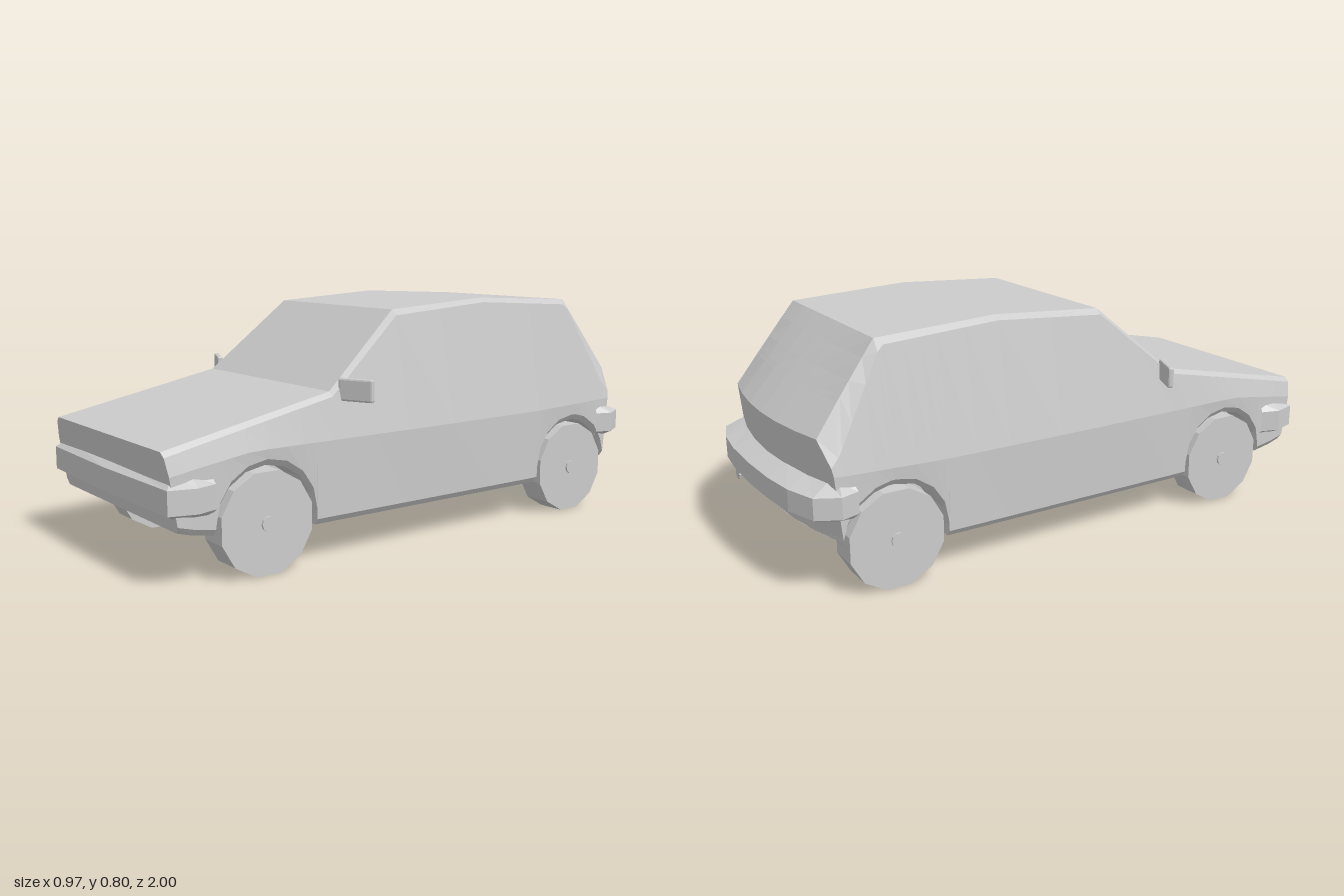
import * as THREE from 'three';
import { RoundedBoxGeometry } from 'three/addons/geometries/RoundedBoxGeometry.js';

const material = new THREE.MeshStandardMaterial({ color: 0xcccccc, flatShading: true, side: THREE.DoubleSide });
const FRONT_AXLE = 0.65, REAR_AXLE = -0.68, WHEEL_Y = 0.16, ARCH_R = 0.178;
const NOSE = 0.985, TAIL = -0.95, COLS = 6;

function add(parent, name, geometry, x = 0, y = 0, z = 0) {
  const mesh = new THREE.Mesh(geometry, material);
  mesh.name = name;
  mesh.position.set(x, y, z);
  parent.add(mesh);
  return mesh;
}

// Faceted surface through rows of points
function skin(rows) {
  const pos = [];
  for (let i = 0; i < rows.length - 1; i++) {
    for (let j = 0; j < rows[i].length - 1; j++) {
      const a = rows[i][j], b = rows[i + 1][j], c = rows[i + 1][j + 1], d = rows[i][j + 1];
      pos.push(...a, ...b, ...d, ...b, ...c, ...d);
    }
  }
  const g = new THREE.BufferGeometry();
  g.setAttribute('position', new THREE.Float32BufferAttribute(pos, 3));
  g.computeVertexNormals();
  return g;
}

// Piecewise linear lookup; keys run from nose to tail
function at(table, z) {
  if (z >= table[0][0]) return table[0][1];
  for (let i = 1; i < table.length; i++) {
    const [z0, v0] = table[i - 1], [z1, v1] = table[i];
    if (z >= z1) return v0 + (v1 - v0) * (z - z0) / (z1 - z0);
  }
  return table[table.length - 1][1];
}

// Body lines along the length
const topY = [[NOSE, 0.415], [0.4, 0.535], [0.115, 0.775], [-0.28, 0.8], [-0.7, 0.78], [TAIL, 0.51]];
const topX = [[NOSE, 0.37], [0.4, 0.365], [0.115, 0.32], [-0.28, 0.315], [-0.7, 0.318], [TAIL, 0.345]];
const edgeY = [[NOSE, 0.4], [0.4, 0.52], [0.115, 0.757], [-0.28, 0.785], [-0.69, 0.762], [-0.855, 0.46], [TAIL, 0.43]];
const edgeX = [[NOSE, 0.387], [0.4, 0.383], [0.115, 0.343], [-0.28, 0.337], [-0.69, 0.342], [-0.855, 0.39], [TAIL, 0.395]];
const beltY = [[NOSE, 0.345], [0.7, 0.388], [-0.5, 0.39], [TAIL, 0.405]];
const beltX = [[NOSE, 0.4], [0, 0.41], [TAIL, 0.4]];
const floorY = [[NOSE, 0.178], [0.83, 0.152], [0.48, 0.125], [-0.5, 0.125], [-0.86, 0.18], [TAIL, 0.19]];

function archY(z, floor) {
  const dz = Math.min(Math.abs(z - FRONT_AXLE), Math.abs(z - REAR_AXLE));
  return dz > ARCH_R + 0.0002 ? floor : Math.max(floor, WHEEL_Y + Math.sqrt(Math.max(0, ARCH_R ** 2 - dz * dz)));
}

// Half section from floor to roof edge
function halfSection(z) {
  const floor = at(floorY, z), low = archY(z, floor);
  return [
    [0.285, floor], [0.285, low], [0.385, low], [0.4, low + 0.02],
    [at(beltX, z), at(beltY, z)], [at(edgeX, z), at(edgeY, z)], [at(topX, z), at(topY, z)],
  ];
}

// Rakes the nose and bows the tail
function place(x, y, z, isTop) {
  const bow = 0.06 * (x / 0.4) ** 2;
  if (z === NOSE) return [x, y, z - (0.415 - y) * 0.15];
  if (z === TAIL) return [x, y, z + (0.51 - y) * 0.1 + bow];
  const t = isTop ? Math.max(0, (-0.7 - z) / 0.25) : 0;
  return [x, y, z + bow * t];
}

const across = (w, y, z, isTop) =>
  Array.from({ length: COLS + 1 }, (_, i) => place(w * (2 * i / COLS - 1), y, z, isTop));

function ring(z) {
  const h = halfSection(z), last = h.length - 1;
  const side = h.slice(1, last);
  const pts = [
    ...across(h[0][0], h[0][1], z, false),
    ...side.map(([x, y]) => place(x, y, z, false)),
    ...across(h[last][0], h[last][1], z, true).reverse(),
    ...side.reverse().map(([x, y]) => place(-x, y, z, false)),
  ];
  return [...pts, pts[0]];
}

const cap = (z) => halfSection(z).slice(2).map(([x, y]) => across(x, y, z, true));

function buildBody(car) {
  const stations = [NOSE, 0.9, 0.4, 0.25, 0.115, -0.08, -0.28, -0.4, -0.7, TAIL];
  for (const axle of [FRONT_AXLE, REAR_AXLE]) {
    for (let k = 0; k <= 8; k++) stations.push(axle + ARCH_R * Math.cos(k * Math.PI / 8));
    stations.push(axle + ARCH_R + 0.001, axle - ARCH_R - 0.001);
  }
  stations.sort((a, b) => b - a);
  const body = new THREE.Group();
  body.name = 'body';
  car.add(body);
  add(body, 'bodyShell', skin(stations.map(ring)));
  add(body, 'nosePanel', skin(cap(NOSE).reverse()));
  add(body, 'tailPanel', skin(cap(TAIL)));
}

// Bumper: each half-path entry is inner x, inner z, outer x, outer z
function bumper(half, lo, hi) {
  const path = [...half.slice(1).reverse().map(([a, b, c, d]) => [-a, b, -c, d]), ...half];
  const profile = [[0, lo], [1, lo + 0.02], [1, hi - 0.03], [0, hi], [0, lo]];
  return skin(path.map(([xi, zi, xo, zo]) => profile.map(([t, y]) => [xi + (xo - xi) * t, y, zi + (zo - zi) * t])));
}

export function createModel() {
  const car = new THREE.Group();
  car.name = 'hatchback';
  buildBody(car);

  add(car, 'frontBumper', bumper([
    [0, 0.95, 0, 0.995], [0.37, 0.95, 0.405, 0.985], [0.39, 0.9, 0.43, 0.9], [0.39, 0.84, 0.41, 0.832],
  ], 0.215, 0.34));
  add(car, 'rearBumper', bumper([
    [0, 0.93, 0, 1.0], [0.15, 0.925, 0.16, 0.995], [0.26, 0.905, 0.28, 0.98],
    [0.36, 0.88, 0.39, 0.945], [0.39, 0.86, 0.43, 0.87], [0.39, 0.82, 0.41, 0.808],
  ], 0.26, 0.38)).rotation.y = Math.PI;

  // Wheels, hubs and axles
  const tyre = new THREE.CylinderGeometry(0.165, 0.165, 0.1, 12).rotateY(Math.PI / 12).rotateZ(Math.PI / 2);
  const hub = new THREE.CylinderGeometry(0.024, 0.024, 0.01, 10).rotateZ(Math.PI / 2);
  const axle = new THREE.CylinderGeometry(0.013, 0.013, 0.62, 8).rotateZ(Math.PI / 2);
  for (const [end, z] of [['front', FRONT_AXLE], ['rear', REAR_AXLE]]) {
    add(car, end + 'Axle', axle, 0, 0.133, z);
    for (const [label, s] of [['Left', 1], ['Right', -1]]) {
      const wheel = new THREE.Group();
      wheel.name = end + label + 'Wheel';
      wheel.position.set(s * 0.348, WHEEL_Y, z);
      car.add(wheel);
      add(wheel, 'tyre', tyre);
      add(wheel, 'hub', hub, s * 0.052);
    }
  }

  // Door mirrors
  for (const [name, s] of [['leftMirror', 1], ['rightMirror', -1]]) {
    const mirror = add(car, name, new RoundedBoxGeometry(0.122, 0.072, 0.02, 1, 0.006), s * 0.426, 0.54, 0.34);
    mirror.rotation.y = s * 0.42;
  }

  // Exhaust pipe
  add(car, 'exhaust', new THREE.CylinderGeometry(0.021, 0.021, 0.12, 8).rotateX(Math.PI / 2), 0.28, 0.212, -0.89);
  return car;
}
